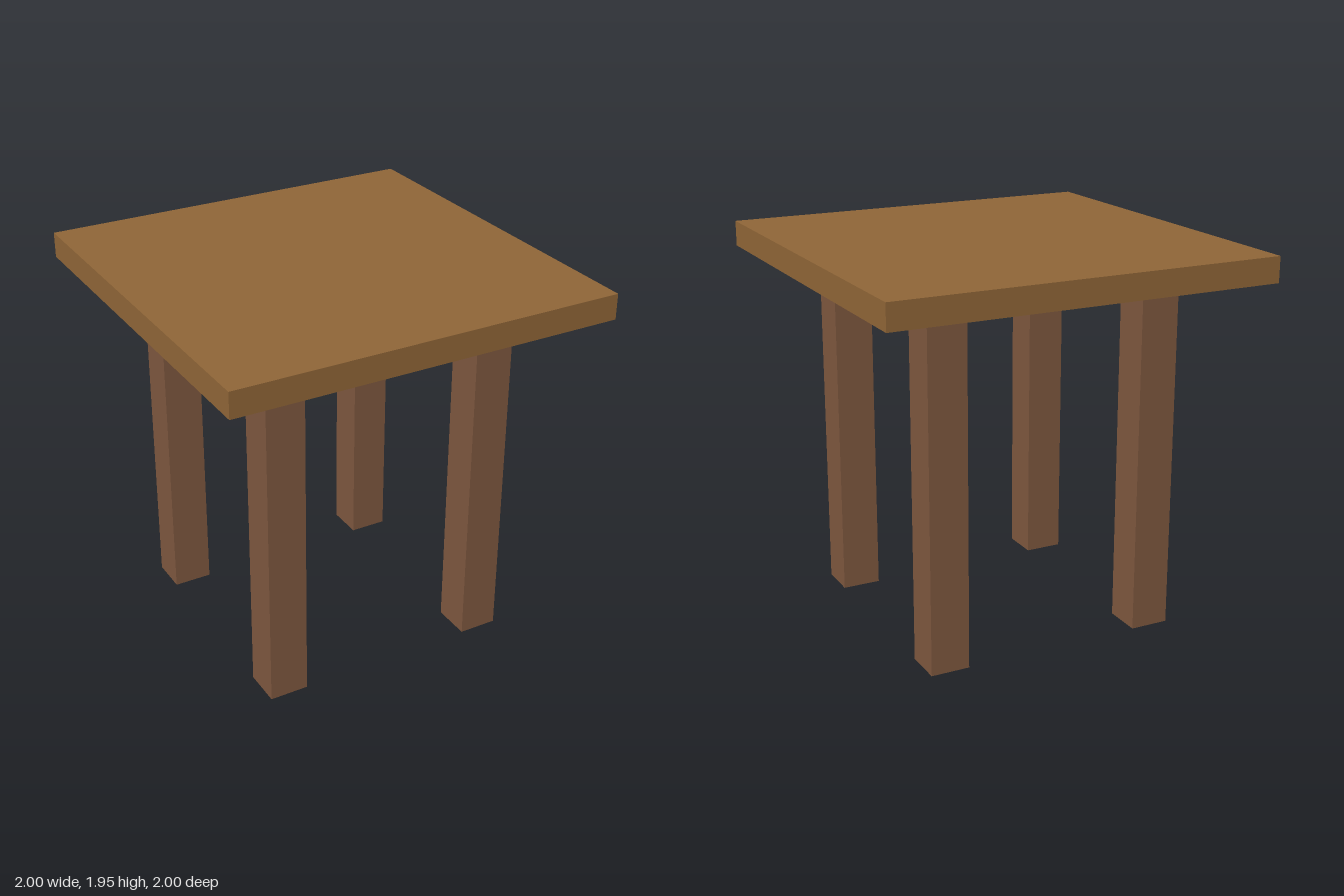
import * as THREE from 'three';

const TOP_Y = 1.95, TOP_THICKNESS = 0.13;
const LEG_WIDTH = 0.2, LEG_OFFSET = 0.565;
const LEG_HEIGHT = TOP_Y - TOP_THICKNESS;

export function createModel() {
  const table = new THREE.Group();
  table.name = 'table';
  const topWood = new THREE.MeshStandardMaterial({ color: 0x8f6537 });
  const legWood = new THREE.MeshStandardMaterial({ color: 0x7d573e });

  // Square slab top
  const top = new THREE.Mesh(new THREE.BoxGeometry(2, TOP_THICKNESS, 2), topWood);
  top.name = 'tableTop';
  top.position.y = TOP_Y - TOP_THICKNESS / 2;
  table.add(top);

  // Four square legs, inset from the corners
  const legGeometry = new THREE.BoxGeometry(LEG_WIDTH, LEG_HEIGHT, LEG_WIDTH);
  for (const [zName, z] of [['front', 1], ['back', -1]]) {
    for (const [xName, x] of [['Left', 1], ['Right', -1]]) {
      const leg = new THREE.Mesh(legGeometry, legWood);
      leg.name = `${zName}${xName}Leg`;
      leg.position.set(x * LEG_OFFSET, LEG_HEIGHT / 2, z * LEG_OFFSET);
      table.add(leg);
    }
  }
  return table;
}
